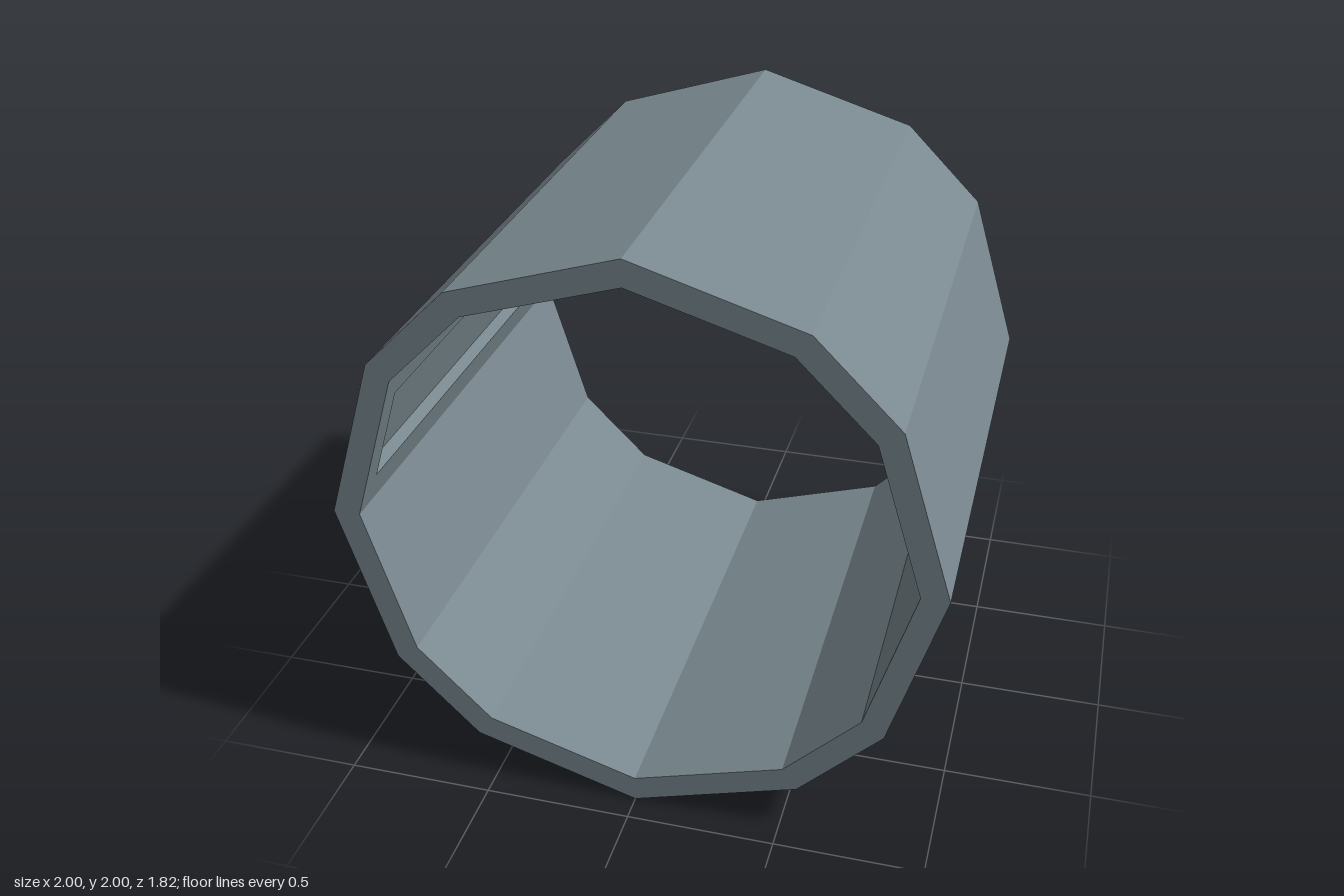
import * as THREE from 'three';

const HALF = 0.91;          // half length along z
const CY = 1;               // height of the axis
const DEPTH = 0.045;        // pocket depth into the wall
const INSET = 0.085;        // pocket inset from each end

// Full twelve-sided ring from a first-quadrant profile, anticlockwise
function ring(r, ax, ay) {
  return [
    [r, 0], [ax, ay], [ay, ax], [0, r], [-ay, ax], [-ax, ay],
    [-r, 0], [-ax, -ay], [-ay, -ax], [0, -r], [ay, -ax], [ax, -ay],
  ].map(([x, y]) => new THREE.Vector2(x, y + CY));
}

// Flat-shaded mesh from a list of four-cornered faces
function quadMesh(name, quads, material) {
  const pos = [];
  for (const [a, b, c, d] of quads) {
    for (const p of [a, b, c, a, c, d]) pos.push(p.x, p.y, p.z);
  }
  const geo = new THREE.BufferGeometry();
  geo.setAttribute('position', new THREE.Float32BufferAttribute(pos, 3));
  geo.computeVertexNormals();
  const mesh = new THREE.Mesh(geo, material);
  mesh.name = name;
  return mesh;
}

const at = (p, z) => new THREE.Vector3(p.x, p.y, z);

export function createModel() {
  const group = new THREE.Group();
  group.name = 'hollowTube';
  const metal = new THREE.MeshStandardMaterial({ color: 0x7a8990 });
  metal.name = 'blueGrey';

  const outer = ring(1, 0.83, 0.555);
  const inner = ring(0.91, 0.756, 0.506);
  const outside = [], frontRim = [], backRim = [], inside = [];
  const pockets = { 0: [0.21, 0.83], 5: [0.17, 0.79] };   // facet: span across it

  for (let i = 0; i < 12; i++) {
    const j = (i + 1) % 12;
    const [oa, ob, ia, ib] = [outer[i], outer[j], inner[i], inner[j]];
    outside.push([at(oa, -HALF), at(ob, -HALF), at(ob, HALF), at(oa, HALF)]);
    frontRim.push([at(oa, HALF), at(ob, HALF), at(ib, HALF), at(ia, HALF)]);
    backRim.push([at(ia, -HALF), at(ib, -HALF), at(ob, -HALF), at(oa, -HALF)]);

    // Rectangle on the inner facet, optionally sunk into the wall
    const out = new THREE.Vector2(ib.y - ia.y, ia.x - ib.x).normalize();
    const loop = (u0, u1, h, sink) =>
      [[u0, h], [u1, h], [u1, -h], [u0, -h]].map(([u, z]) =>
        at(ia.clone().lerp(ib, u).addScaledVector(out, sink), z));
    const edge = loop(0, 1, HALF, 0);
    if (!pockets[i]) {
      inside.push(edge);
      continue;
    }

    // Facet with a shallow rectangular pocket: frame, side walls and floor
    const [u0, u1] = pockets[i];
    const lip = loop(u0, u1, HALF - INSET, 0);
    const floor = loop(u0, u1, HALF - INSET, DEPTH);
    const recess = [floor];
    for (let k = 0; k < 4; k++) {
      const n = (k + 1) % 4;
      inside.push([edge[k], edge[n], lip[n], lip[k]]);
      recess.push([lip[k], lip[n], floor[n], floor[k]]);
    }
    group.add(quadMesh(i === 0 ? 'leftPocket' : 'rightPocket', recess, metal));
  }

  group.add(
    quadMesh('outerWall', outside, metal),
    quadMesh('frontRim', frontRim, metal),
    quadMesh('backRim', backRim, metal),
    quadMesh('innerWall', inside, metal),
  );
  return group;
}
